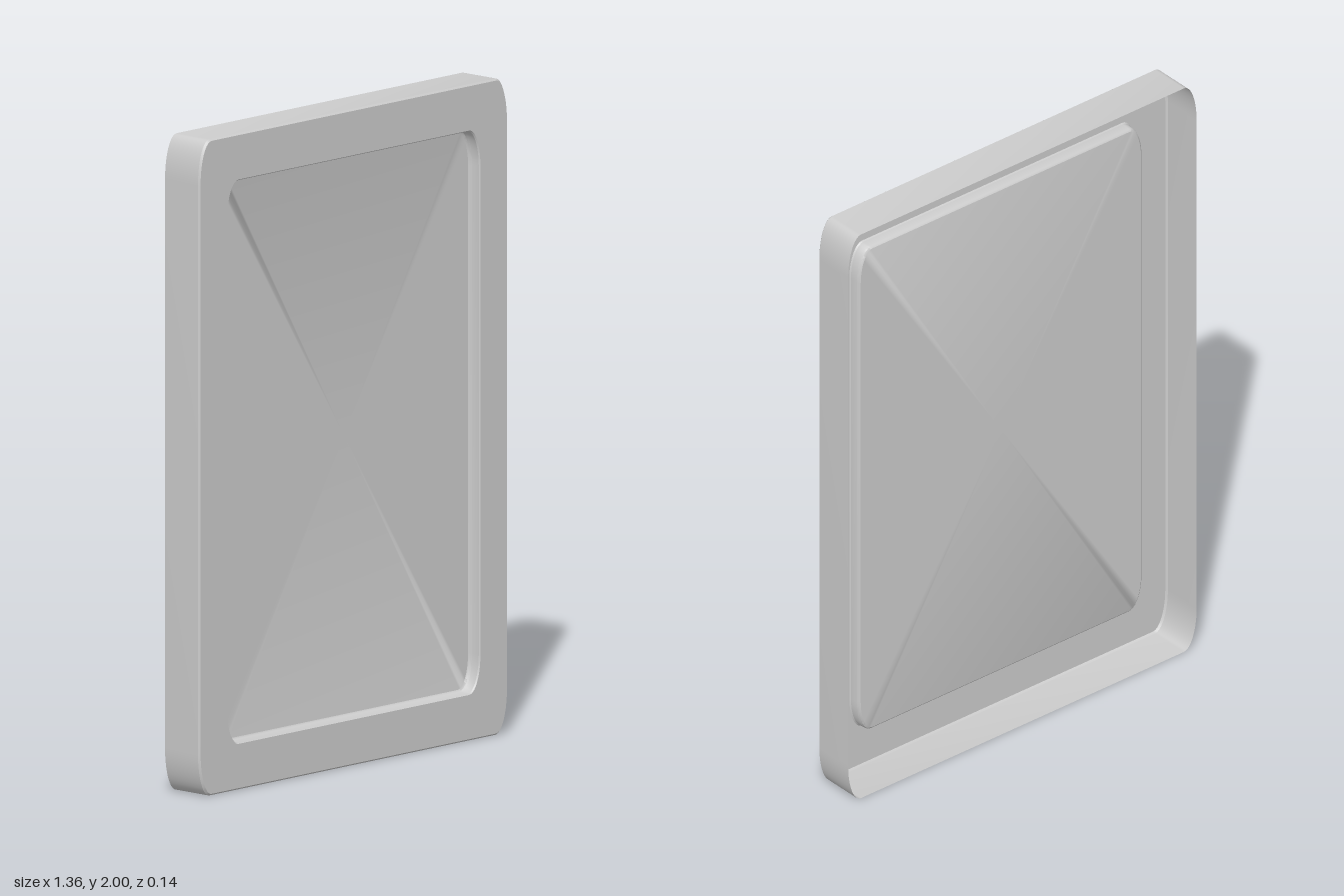
import * as THREE from 'three';
import { toCreasedNormals } from 'three/addons/utils/BufferGeometryUtils.js';

const material = new THREE.MeshStandardMaterial({ color: 0xcccccc, side: THREE.DoubleSide });
const STEPS = 10; // segments per corner

// Upright rectangle with elliptical corners, counter-clockwise seen from the front
function outline([w, h, rx, ry, z]) {
  const points = [];
  [[1, 1], [-1, 1], [-1, -1], [1, -1]].forEach(([sx, sy], quarter) => {
    for (let i = 0; i <= STEPS; i++) {
      const a = (quarter + i / STEPS) * Math.PI / 2;
      points.push([sx * (w - rx) + rx * Math.cos(a), 1 + sy * (h - ry) + ry * Math.sin(a), z]);
    }
  });
  return points;
}

// Skin between successive outlines; optionally closes the last one with a flat panel
function loft(name, sections, capped = false) {
  const rings = sections.map(outline);
  const n = rings[0].length;
  const index = [];
  for (let r = 0; r < rings.length - 1; r++) {
    for (let i = 0; i < n; i++) {
      const j = (i + 1) % n;
      const a = r * n + i, b = r * n + j, c = a + n, d = b + n;
      index.push(a, b, d, a, d, c);
    }
  }
  const positions = rings.flat(2);
  if (capped) {
    const center = rings.length * n;
    positions.push(0, 1, sections[sections.length - 1][4]);
    for (let i = 0; i < n; i++) index.push(center - n + i, center - n + (i + 1) % n, center);
  }
  const geometry = new THREE.BufferGeometry();
  geometry.setAttribute('position', new THREE.Float32BufferAttribute(positions, 3));
  geometry.setIndex(index);
  const mesh = new THREE.Mesh(toCreasedNormals(geometry, 0.6), material);
  mesh.name = name;
  return mesh;
}

export function createModel() {
  const group = new THREE.Group();
  group.name = 'shallowFrameShell';

  // Sections: half width, half height, corner radii in x and y, depth
  const rim = [0.68, 1, 0.05, 0.135, 0.064];
  const frontEdge = [0.675, 0.995, 0.048, 0.132, 0.07];
  const opening = [0.558, 0.86, 0.05, 0.115, 0.07];

  // Side wall, open at the back
  group.add(loft('sideWall', [[0.68, 1, 0.05, 0.135, -0.07], rim, frontEdge]));
  // Flat border around the opening
  group.add(loft('frontBorder', [frontEdge, opening]));
  // Sunken panel with a softly rounded step
  group.add(loft('recessedPanel', [
    opening,
    [0.555, 0.857, 0.049, 0.113, 0.066],
    [0.554, 0.856, 0.049, 0.112, 0.04],
    [0.552, 0.854, 0.048, 0.111, 0.034],
    [0.547, 0.849, 0.046, 0.108, 0.03],
  ], true));
  return group;
}
